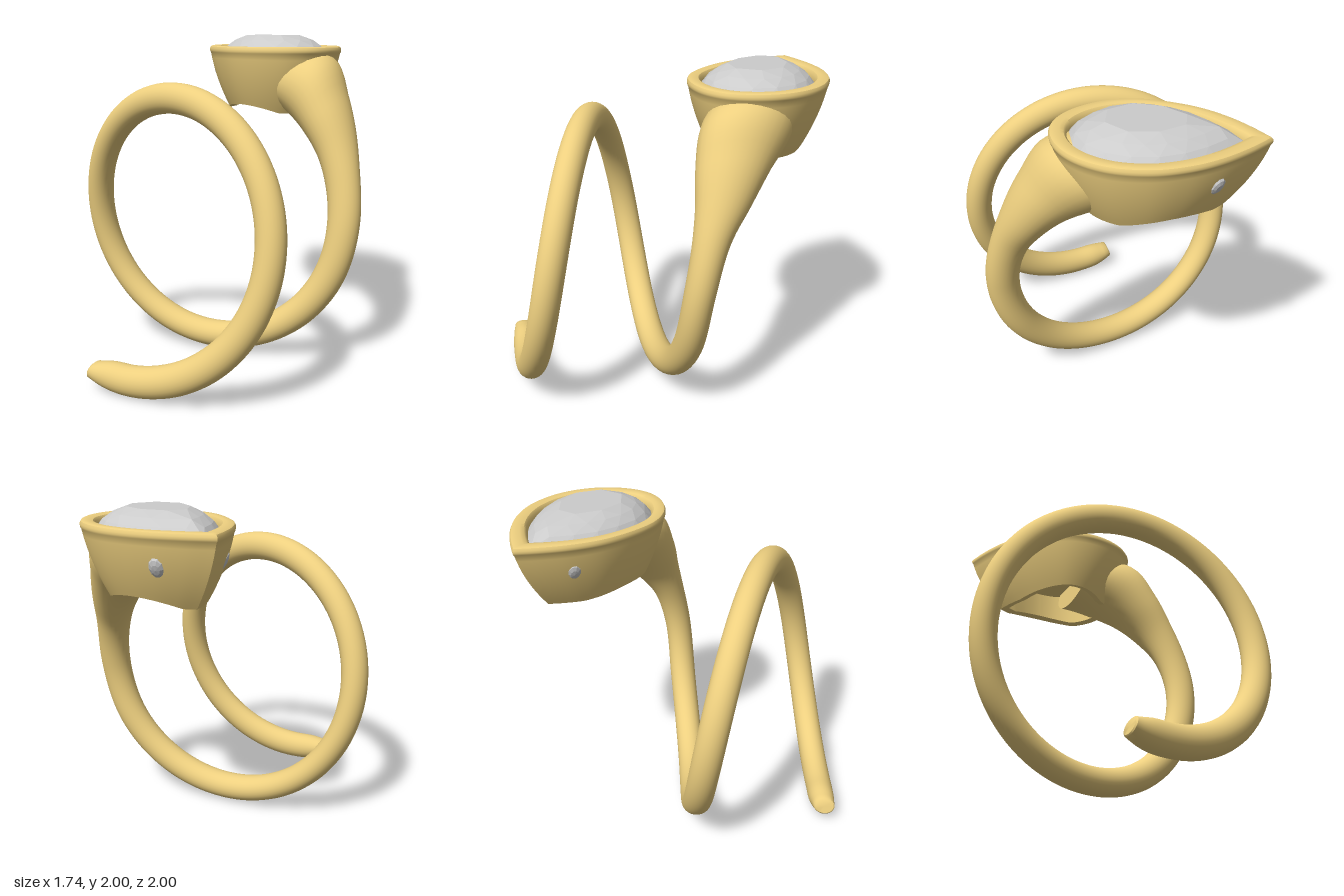
import * as THREE from 'three';
import { toCreasedNormals } from 'three/addons/utils/BufferGeometryUtils.js';
import { ConvexGeometry } from 'three/addons/geometries/ConvexGeometry.js';

const gold = new THREE.MeshStandardMaterial({ color: 0xedcf7f, side: THREE.DoubleSide });
const gem = new THREE.MeshStandardMaterial({ color: 0xcccccc, flatShading: true });
const V = (x, y, z) => new THREE.Vector3(x, y, z);

// Axis of the coil and radius of the finger hole
const AX = -0.02, AY = 0.87, HOLE = 0.69;

// Skin a list of equally long rows of points
function loft(rows, name, crease) {
  const n = rows[0].length, index = [];
  for (let i = 0; i < rows.length - 1; i++) {
    for (let j = 0; j < n - 1; j++) {
      const a = i * n + j, b = a + n;
      index.push(a, b, a + 1, b, b + 1, a + 1);
    }
  }
  const geo = new THREE.BufferGeometry().setFromPoints(rows.flat());
  geo.setIndex(index);
  const mesh = new THREE.Mesh(toCreasedNormals(geo, crease), gold);
  mesh.name = name;
  return mesh;
}

// Coil: oval sections turned about the axis, widening into the neck
function makeBand() {
  // angle in degrees, inner radius, outer radius, front z, back z
  const keys = [
    [-108, 0.74, 0.845, 1.0, 0.87],
    [-100, 0.70, 0.865, 0.998, 0.835],
    [-90, 0.69, 0.87, 0.985, 0.815],
    [0, 0.68, 0.85, 0.755, 0.585],
    [90, 0.69, 0.87, 0.53, 0.36],
    [180, 0.69, 0.85, 0.315, 0.14],
    [270, 0.69, 0.86, 0.13, -0.05],
    [330, 0.69, 0.88, -0.03, -0.21],
    [360, 0.69, 0.89, -0.085, -0.265],
    [381, 0.69, 0.91, -0.13, -0.345],
    [394, 0.69, 0.95, -0.15, -0.45],
    [409, 0.69, 1.035, -0.16, -0.58],
    [422, 0.69, 1.135, -0.19, -0.71],
    [440, 0.70, 1.02, -0.3, -0.79],
  ];
  const spline = new THREE.CubicInterpolant(
    keys.map(k => k[0]), keys.flatMap(k => k.slice(1)), 4, new Float32Array(4));
  const rows = [], steps = 220, sides = 28;
  const section = (deg, size) => {
    const [r0, r1, z0, z1] = spline.evaluate(deg);
    const a = deg * Math.PI / 180, row = [];
    for (let j = 0; j <= sides; j++) {
      const t = j / sides * Math.PI * 2;
      const r = (r0 + r1) / 2 + Math.cos(t) * size * (r1 - r0) / 2;
      const z = (z0 + z1) / 2 + Math.sin(t) * size * (z0 - z1) / 2;
      row.push(V(AX + r * Math.cos(a), AY + r * Math.sin(a), z));
    }
    return row;
  };
  rows.push(section(-108, 0), section(-108, 0.88));
  for (let i = 0; i <= steps; i++) rows.push(section(-107.5 + 547.5 * i / steps, 1));
  rows.push(section(440, 0));
  return loft(rows, 'coiledBand', 0.7);
}

// Pear outline of the setting, seen from above (x, z), from tip round to tip
const CX = 0.05, CZ = -0.56;
const pear = new THREE.CatmullRomCurve3([
  [-0.55, -0.86], [-0.4, -0.925], [-0.22, -0.98], [-0.05, -1], [0.15, -0.975],
  [0.35, -0.87], [0.48, -0.7], [0.52, -0.52], [0.48, -0.34], [0.38, -0.23],
  [0.25, -0.17], [0.1, -0.15], [-0.05, -0.18], [-0.2, -0.27], [-0.35, -0.41],
  [-0.45, -0.57], [-0.51, -0.72], [-0.55, -0.86],
].map(([x, z]) => V(x, 0, z)));
const scaled = (p, s, y) => V(CX + (p.x - CX) * s, y, CZ + (p.z - CZ) * s);

// Bezel wall narrows downwards by this rule
const wallScale = y => {
  const d = 1.885 - y;
  return 0.985 - 0.45 * d - 1.1 * d * d;
};

function makeBezel() {
  const outline = pear.getSpacedPoints(120);
  // The lower edge follows the finger hole
  const bottom = outline.map(p => {
    let y = 1.55;
    for (let i = 0; i < 8; i++) {
      const x = scaled(p, wallScale(y), y).x - AX;
      y = Math.max(1.51, AY + Math.sqrt(Math.max(0, HOLE * HOLE - x * x)));
    }
    return y;
  });
  const rows = [];
  const ring = f => rows.push(outline.map((p, j) => scaled(p, ...f(bottom[j]))));
  // hollow underside
  ring(() => [0, 1.75]);
  ring(() => [0.62, 1.75]);
  ring(y => [wallScale(y) * 0.86, y + 0.01]);
  // outer wall
  for (let i = 0; i <= 10; i++) {
    ring(b => {
      const y = b + (1.885 - b) * i / 10;
      return [wallScale(y), y];
    });
  }
  // rounded rim and inner lip
  [[0.995, 1.89], [1.0, 1.9], [1.0, 1.912], [0.985, 1.925], [0.96, 1.93], [0.88, 1.93],
    [0.835, 1.925], [0.81, 1.912], [0.8, 1.89], [0.78, 1.84]].forEach(r => ring(() => r));
  return loft(rows, 'bezel', 0.6);
}

// Main stone: staggered rings of facet corners
function makeStone() {
  const pts = [];
  [[0.25, 1.78, 8, 0], [0.8, 1.885, 32, 0], [0.72, 1.93, 16, 0.5], [0.59, 1.968, 16, 0],
    [0.42, 2.0, 8, 0.5]].forEach(([s, y, n, shift]) => {
    for (let i = 0; i < n; i++) pts.push(scaled(pear.getPointAt((i + shift) / n), s, y));
  });
  const mesh = new THREE.Mesh(new ConvexGeometry(pts), gem);
  mesh.name = 'mainStone';
  return mesh;
}

// Small oval stone set in the bezel wall
function makeSideStone(name, pos, dir) {
  const geo = new THREE.SphereGeometry(1, 10, 6);
  geo.rotateX(Math.PI / 2);
  geo.scale(0.045, 0.062, 0.025);
  const mesh = new THREE.Mesh(geo, gem);
  mesh.name = name;
  mesh.position.copy(pos);
  mesh.lookAt(pos.clone().add(dir));
  return mesh;
}

export function createModel() {
  const group = new THREE.Group();
  group.name = 'spiralRing';
  group.add(
    makeBand(),
    makeBezel(),
    makeStone(),
    makeSideStone('frontSideStone', V(-0.385, 1.74, -0.58), V(-0.9, -0.5, 0.43)),
    makeSideStone('backSideStone', V(-0.22, 1.74, -0.92), V(-0.29, -0.5, -0.96)),
  );
  return group;
}
